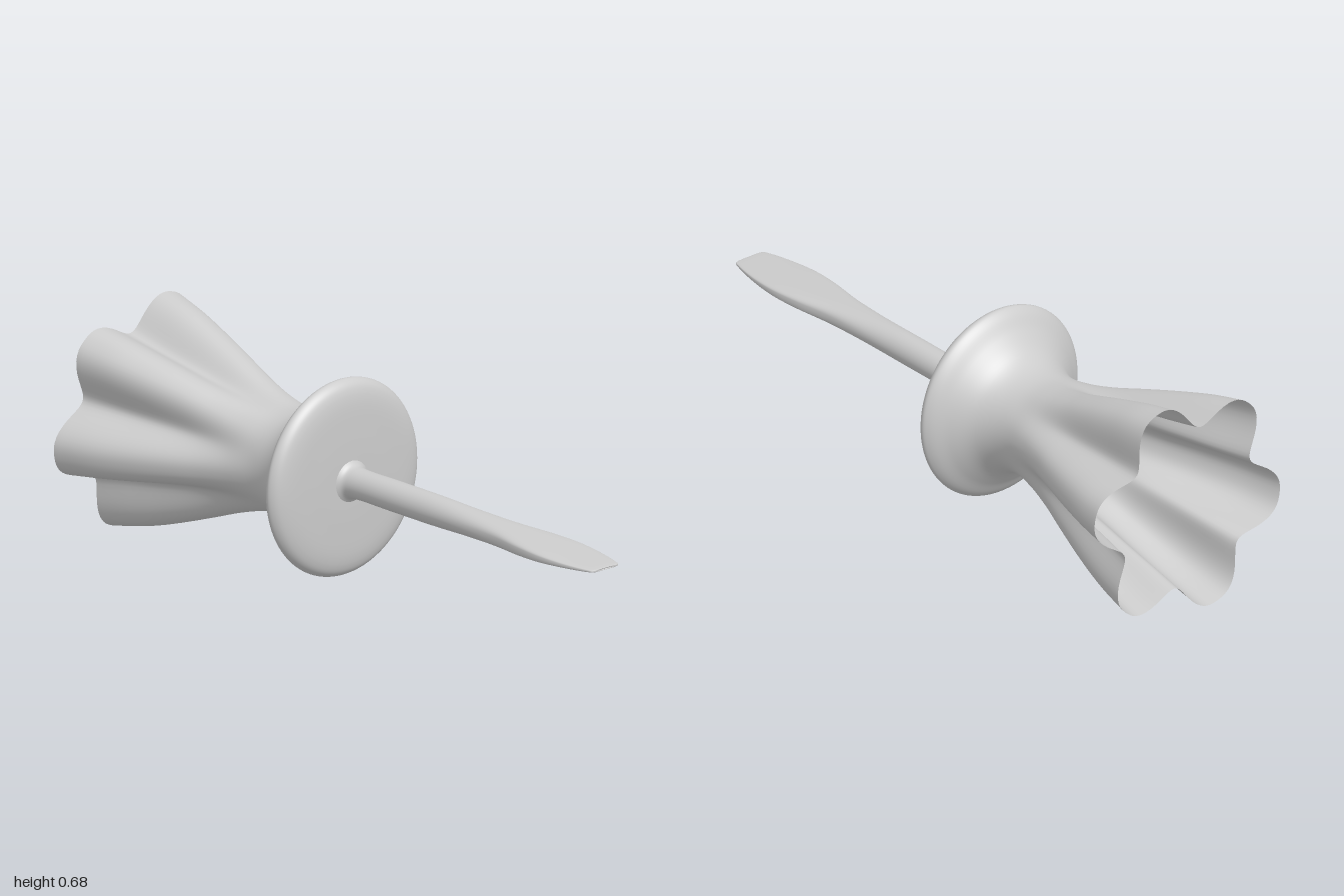
import * as THREE from 'three';

// Skin of closed rings running from +z to -z; ringPoint(t, angle) gives [x, y, z].
function loft(name, centerY, rings, sides, ringPoint) {
  const pos = [], index = [];
  for (let i = 0; i <= rings; i++) {
    for (let j = 0; j < sides; j++) {
      pos.push(...ringPoint(i / rings, (j / sides) * Math.PI * 2));
      if (i === rings) continue;
      const a = i * sides + j, b = i * sides + (j + 1) % sides;
      index.push(a, a + sides, b, b, a + sides, b + sides);
    }
  }
  const geometry = new THREE.BufferGeometry();
  geometry.setAttribute('position', new THREE.Float32BufferAttribute(pos, 3));
  geometry.setIndex(index);
  geometry.computeVertexNormals();
  const material = new THREE.MeshStandardMaterial({ color: 0xcccccc, side: THREE.DoubleSide });
  const mesh = new THREE.Mesh(geometry, material);
  mesh.name = name;
  mesh.position.y = centerY;
  return mesh;
}

const spline = (points) =>
  new THREE.CatmullRomCurve3(points.map((p) => new THREE.Vector3(...p)), false, 'centripetal');

// Guard disc, waist and hollow six-lobed grip: [z, lobe radius, valley radius]
function buildHandle() {
  const profile = spline([
    [-0.09, 0.03, 0.03], [-0.092, 0.15, 0.15], [-0.1, 0.255, 0.255], [-0.115, 0.288, 0.288],
    [-0.135, 0.299, 0.299], [-0.155, 0.287, 0.287], [-0.19, 0.24, 0.24], [-0.24, 0.189, 0.189],
    [-0.29, 0.166, 0.166], [-0.35, 0.16, 0.158], [-0.43, 0.173, 0.162], [-0.52, 0.2, 0.17],
    [-0.62, 0.238, 0.182], [-0.74, 0.282, 0.203], [-0.87, 0.324, 0.226], [-0.99, 0.353, 0.25],
  ]);
  return loft('handle', 0.35, 90, 144, (t, a) => {
    const p = profile.getPoint(t);
    // Broad rounded lobes between narrower scooped flutes
    const wave = 0.5 - 0.5 * Math.cos(6 * (a - THREE.MathUtils.degToRad(12)));
    const r = THREE.MathUtils.lerp(p.y, p.z, wave ** 1.4);
    // The guard is slightly oval and the open rim leans slightly
    const oval = 1 - 0.03 * THREE.MathUtils.smoothstep(p.x, -0.3, -0.15);
    const lean = 0.03 * Math.max(0, (-p.x - 0.8) / 0.19);
    return [oval * r * Math.cos(a), r * Math.sin(a), p.x + lean * r * Math.sin(a)];
  });
}

// Round shaft flattening to a flared blade: [z, half width, half thickness]
function buildShaft() {
  const profile = spline([
    [1, 0, 0], [1, 0.05, 0.004], [0.98, 0.059, 0.006], [0.9, 0.077, 0.011], [0.8, 0.086, 0.018],
    [0.7, 0.079, 0.024], [0.58, 0.061, 0.031], [0.45, 0.052, 0.038], [0.3, 0.047, 0.045],
    [0.1, 0.046, 0.046], [-0.05, 0.046, 0.046], [-0.078, 0.05, 0.05], [-0.095, 0.068, 0.068],
  ]);
  const power = (v, e) => Math.sign(v) * Math.abs(v) ** e;
  return loft('shaft', 0.347, 72, 40, (t, a) => {
    const p = profile.getPoint(t);
    // Section goes from round at the guard to boxy at the blade
    const e = THREE.MathUtils.lerp(1, 0.5, THREE.MathUtils.smoothstep(p.x, 0.3, 0.8));
    return [p.y * power(Math.cos(a), e), p.z * power(Math.sin(a), e), p.x];
  });
}

export function createModel() {
  const model = new THREE.Group();
  model.name = 'screwdriver';
  model.add(buildHandle(), buildShaft());
  return model;
}
